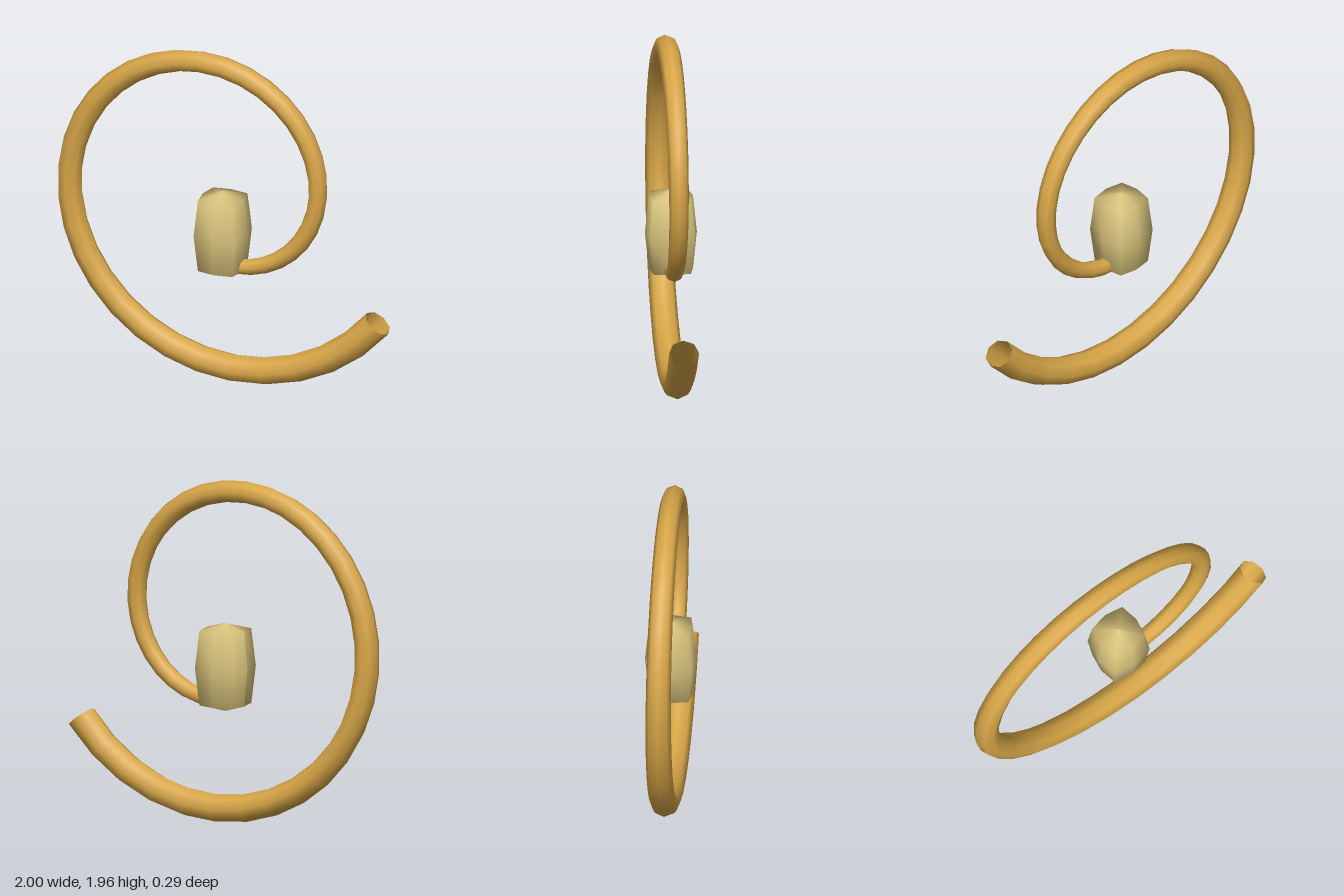
import * as THREE from 'three';

// Closed-in-v grid surface: point(i, j) gives a vertex, the j direction wraps round
function gridSurface(rows, sides, point) {
  const pos = [], idx = [];
  for (let i = 0; i <= rows; i++)
    for (let j = 0; j < sides; j++) pos.push(...point(i / rows, (j / sides) * Math.PI * 2));
  for (let i = 0; i < rows; i++)
    for (let j = 0; j < sides; j++) {
      const a = i * sides + j, b = i * sides + ((j + 1) % sides);
      idx.push(a, a + sides, b, b, a + sides, b + sides);
    }
  const g = new THREE.BufferGeometry();
  g.setAttribute('position', new THREE.Float32BufferAttribute(pos, 3));
  g.setIndex(idx);
  g.computeVertexNormals();
  return g;
}

// Tapered, open tube along an Archimedean spiral in the xy plane
function spiralTube() {
  const start = -1.53, end = 5.692, k = 0.0995;
  return gridSurface(40, 8, (t, v) => {
    const a = start + (end - start) * t;
    const r = 0.591 + k * a;
    const w = 0.0535 + 0.0053 * a;
    const c = Math.cos(a), s = Math.sin(a);
    // in-plane normal, square to the spiral's tangent
    const n = new THREE.Vector2(k * s + r * c, -k * c + r * s).normalize();
    const out = w * Math.cos(v);
    return [-0.02 + r * c + n.x * out, 1.15 + r * s + n.y * out, w * Math.sin(v)];
  });
}

// Boxy ellipsoid: a coarse sphere with its corners pushed outwards
function beadGeometry() {
  const g = new THREE.SphereGeometry(1, 8, 4);
  const p = g.attributes.position;
  const pw = (x) => (Math.abs(x) < 1e-6 ? 0 : Math.sign(x) * Math.abs(x) ** 0.47);
  for (let i = 0; i < p.count; i++) {
    const y = p.getY(i), h = Math.sqrt(Math.max(0, 1 - y * y));
    const ring = h < 1e-6 ? 0 : pw(h) * 0.145;
    const x = h < 1e-6 ? 0 : p.getX(i) / h, z = h < 1e-6 ? 0 : p.getZ(i) / h;
    p.setXYZ(i, pw(x) * ring, pw(y) * 0.25, pw(z) * ring);
  }
  g.computeVertexNormals();
  return g;
}

export function createModel() {
  const gold = new THREE.MeshStandardMaterial({ color: 0xd9a748, side: THREE.DoubleSide });
  gold.name = 'gold';
  const paleGold = new THREE.MeshStandardMaterial({ color: 0xd9c47c });
  paleGold.name = 'paleGold';

  const model = new THREE.Group();
  model.name = 'spiralWithBead';

  const spiral = new THREE.Mesh(spiralTube(), gold);
  spiral.name = 'spiralTube';

  const bead = new THREE.Mesh(beadGeometry(), paleGold);
  bead.name = 'centreBead';
  bead.position.y = 0.895;

  model.add(spiral, bead);
  return model;
}
